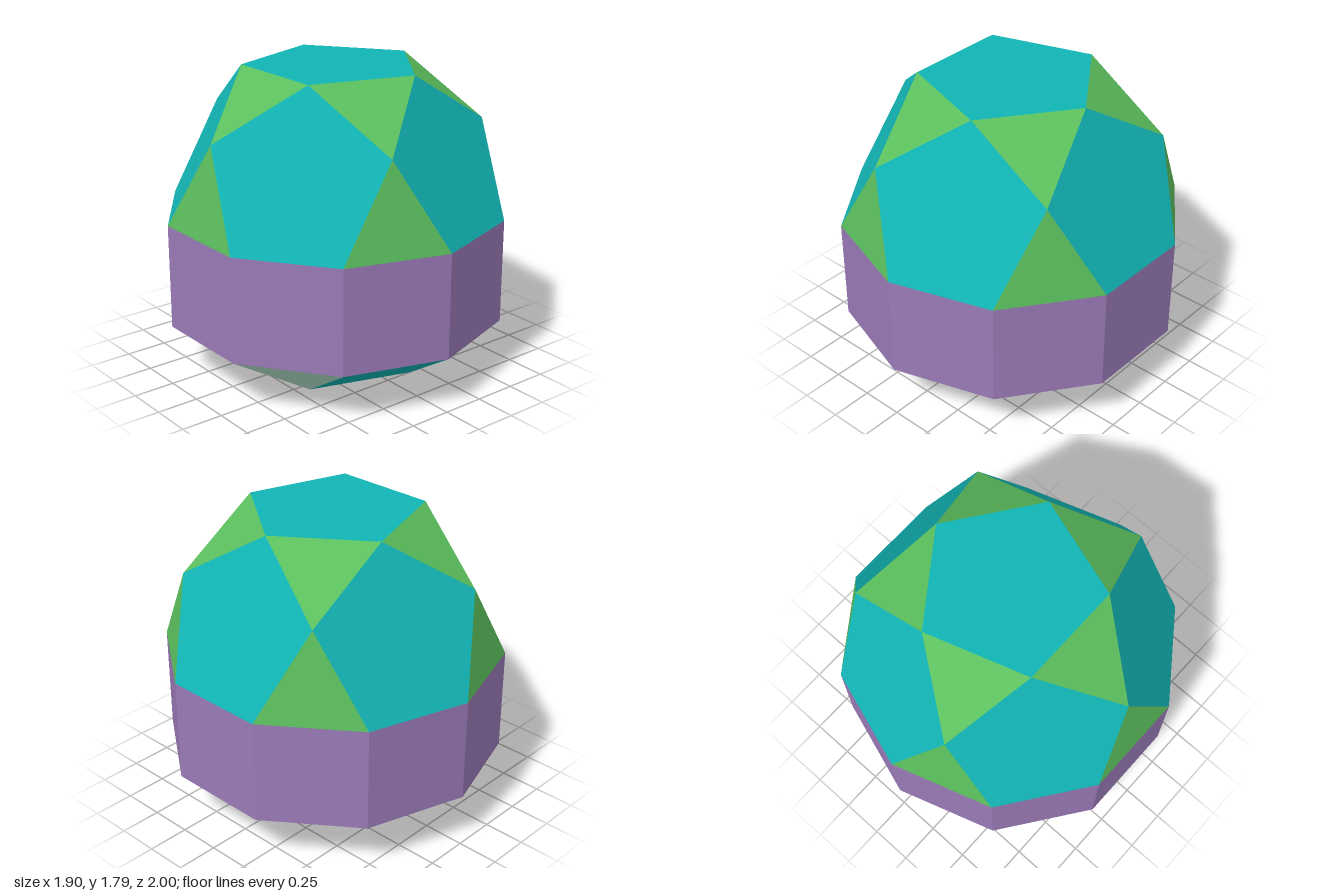
import * as THREE from 'three';

const MATS = {};
for (const [name, color] of Object.entries({ teal: 0x12b5b5, green: 0x5bbf5d, purple: 0x9a7ab7, paleMint: 0xb0dfc8 })) {
  MATS[name] = new THREE.MeshStandardMaterial({ color });
  MATS[name].name = name;
}

// Ring radii and heights, all edges equal to E
const E = 2 * Math.sin(Math.PI / 10);
const R_SMALL = E / (2 * Math.sin(Math.PI / 5));
const R_MID = E * (1 + Math.sqrt(5)) / 2 * R_SMALL / E;
const Y_BELT = Math.sqrt(E * E - (Math.cos(Math.PI / 10) - R_SMALL) ** 2 - Math.sin(Math.PI / 10) ** 2);
const Y_DOME = Y_BELT + E;
const Y_MID = Y_DOME + R_SMALL;
const Y_TOP = Y_DOME + R_MID;

// Ring points by angle in degrees, counter-clockwise from above
const ring = (r, y) => (deg) => {
  const a = THREE.MathUtils.degToRad(deg);
  return [r * Math.cos(a), y, -r * Math.sin(a)];
};
const base = ring(R_SMALL, 0);
const low = ring(1, Y_BELT);
const high = ring(1, Y_DOME);
const mid = ring(R_MID, Y_MID);
const top = ring(R_SMALL, Y_TOP);

// Flat mesh from convex polygons, corners counter-clockwise from outside
function facets(name, material, polygons) {
  const pos = [];
  for (const p of polygons)
    for (let i = 1; i < p.length - 1; i++) pos.push(...p[0], ...p[i], ...p[i + 1]);
  const g = new THREE.BufferGeometry();
  g.setAttribute('position', new THREE.Float32BufferAttribute(pos, 3));
  g.computeVertexNormals();
  const mesh = new THREE.Mesh(g, material);
  mesh.name = name;
  return mesh;
}

export function createModel() {
  const group = new THREE.Group();
  group.name = 'facetedSolid';
  const fifths = [0, 72, 144, 216, 288];
  const tenths = [...fifths, ...fifths.map((a) => a + 36)];

  group.add(
    // Dome of pentagons and triangles
    facets('topPentagon', MATS.teal, [fifths.map(top)]),
    facets('domePentagons', MATS.teal, fifths.map((a) =>
      [high(a - 18), high(a + 18), mid(a + 36), top(a), mid(a - 36)])),
    facets('upperTriangles', MATS.green, fifths.map((a) => [top(a), mid(a + 36), top(a + 72)])),
    facets('lowerTriangles', MATS.green, fifths.map((a) => [high(a + 18), high(a + 54), mid(a + 36)])),
    // Ten-sided belt
    facets('beltSquares', MATS.purple, tenths.map((a) =>
      [low(a - 18), low(a + 18), high(a + 18), high(a - 18)])),
    // Shallow foot of squares and triangles
    facets('footSquares', MATS.teal, fifths.map((a) =>
      [base(a), base(a + 72), low(a + 54), low(a + 18)])),
    facets('footTriangles', MATS.paleMint, fifths.map((a) => [base(a), low(a + 18), low(a - 18)])),
    facets('basePentagon', MATS.paleMint, [fifths.map(base).reverse()]),
  );
  return group;
}
